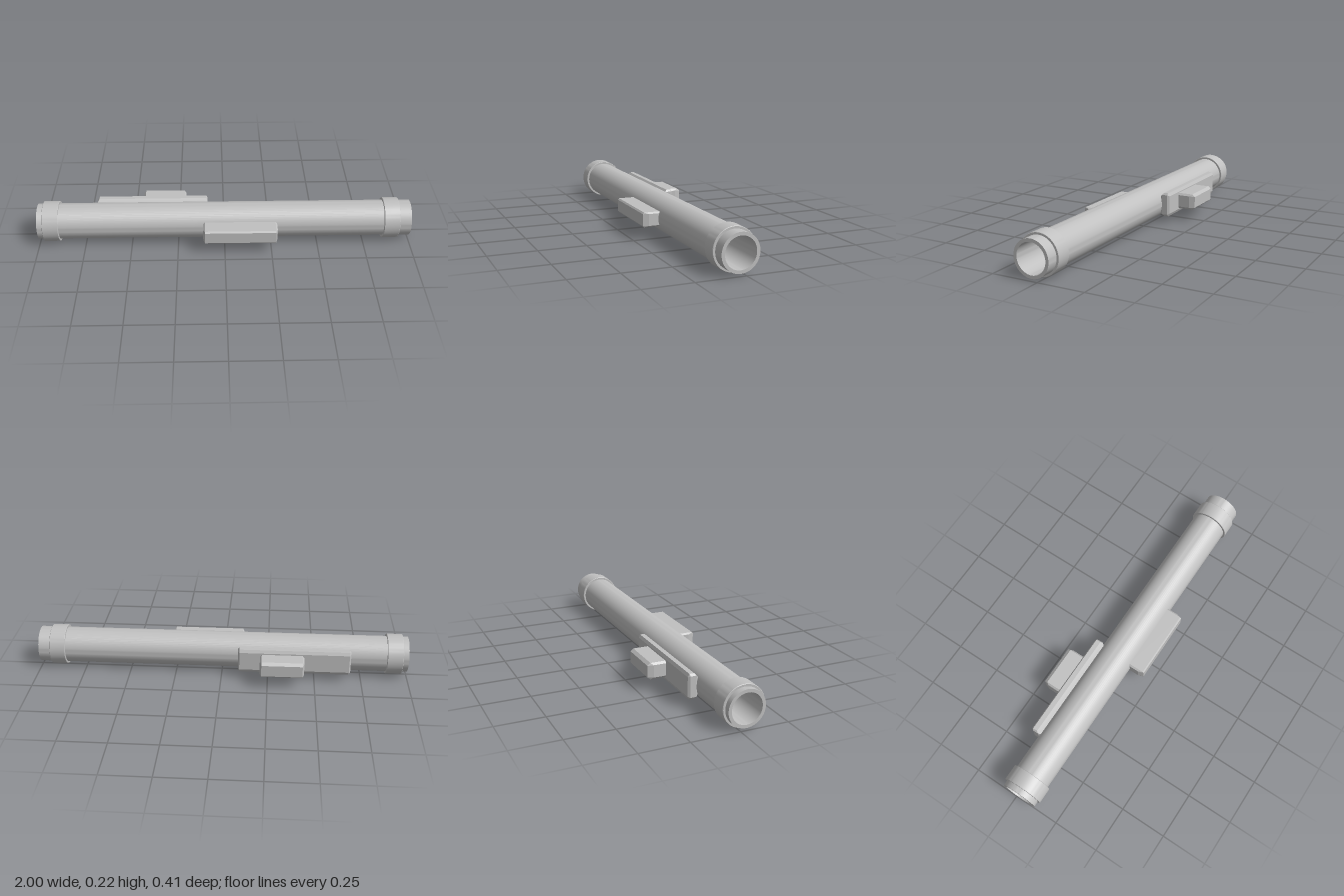
import * as THREE from 'three';
import { toCreasedNormals } from 'three/addons/utils/BufferGeometryUtils.js';
import { ConvexGeometry } from 'three/addons/geometries/ConvexGeometry.js';

const AXIS_Y = 0.11, AXIS_Z = 0.03;
const BORE = 0.079, TUBE_R = 0.0955, COLLAR_R = 0.108;

export function createModel() {
  const group = new THREE.Group();
  const grey = new THREE.MeshStandardMaterial({ color: 0xc0c0c0 });
  grey.name = 'grey metal';

  function add(name, geometry) {
    const mesh = new THREE.Mesh(geometry, grey);
    mesh.name = name;
    group.add(mesh);
  }

  // Hollow ring along x, from x0 to x1
  function ring(name, x0, x1, inner, outer, bevel) {
    const profile = [
      [inner, x0], [outer - bevel, x0], [outer, x0 + bevel],
      [outer, x1 - bevel], [outer - bevel, x1], [inner, x1], [inner, x0],
    ].filter((p, i, a) => i === 0 || p[0] !== a[i - 1][0] || p[1] !== a[i - 1][1])
      .map(([r, x]) => new THREE.Vector2(r, x));
    const geometry = toCreasedNormals(new THREE.LatheGeometry(profile, 64), 0.5);
    geometry.rotateZ(-Math.PI / 2);
    geometry.translate(0, AXIS_Y, AXIS_Z);
    add(name, geometry);
  }

  // Block with chamfered outer edges: each layer is [z, half length, half height]
  function block(name, x, y, layers) {
    const points = [];
    for (const [z, hx, hy] of layers)
      for (const sx of [-1, 1])
        for (const sy of [-1, 1])
          points.push(new THREE.Vector3(x + sx * hx, y + sy * hy, z));
    add(name, new ConvexGeometry(points));
  }

  // Main tube and its two collars
  ring('tube', -1, 1, BORE, TUBE_R, 0);
  ring('rightCollar', -0.97, -0.885, TUBE_R - 0.005, COLLAR_R, 0.002);
  ring('leftCollar', 0.853, 0.937, TUBE_R - 0.005, COLLAR_R, 0.002);

  // Block on the front
  block('frontBlock', 0.082, 0.11, [
    [0.112, 0.197, 0.031], [0.178, 0.197, 0.031], // end faces
    [0.112, 0.188, 0.039], [0.2, 0.188, 0.039], // long sides
    [0.207, 0.188, 0.031], // outer face
  ]);

  // Plate on the back, chamfered on both sides
  block('backPlate', -0.39, 0.111, [
    [-0.055, 0.292, 0.042],
    [-0.066, 0.3, 0.055], [-0.098, 0.3, 0.055],
    [-0.076, 0.292, 0.066], [-0.101, 0.292, 0.066],
    [-0.109, 0.292, 0.05],
  ]);

  // Small block standing on the plate
  block('backBlock', -0.325, 0.11, [
    [-0.1, 0.117, 0.033], [-0.176, 0.117, 0.033],
    [-0.1, 0.108, 0.044], [-0.19, 0.108, 0.044],
    [-0.206, 0.108, 0.031],
  ]);

  return group;
}
